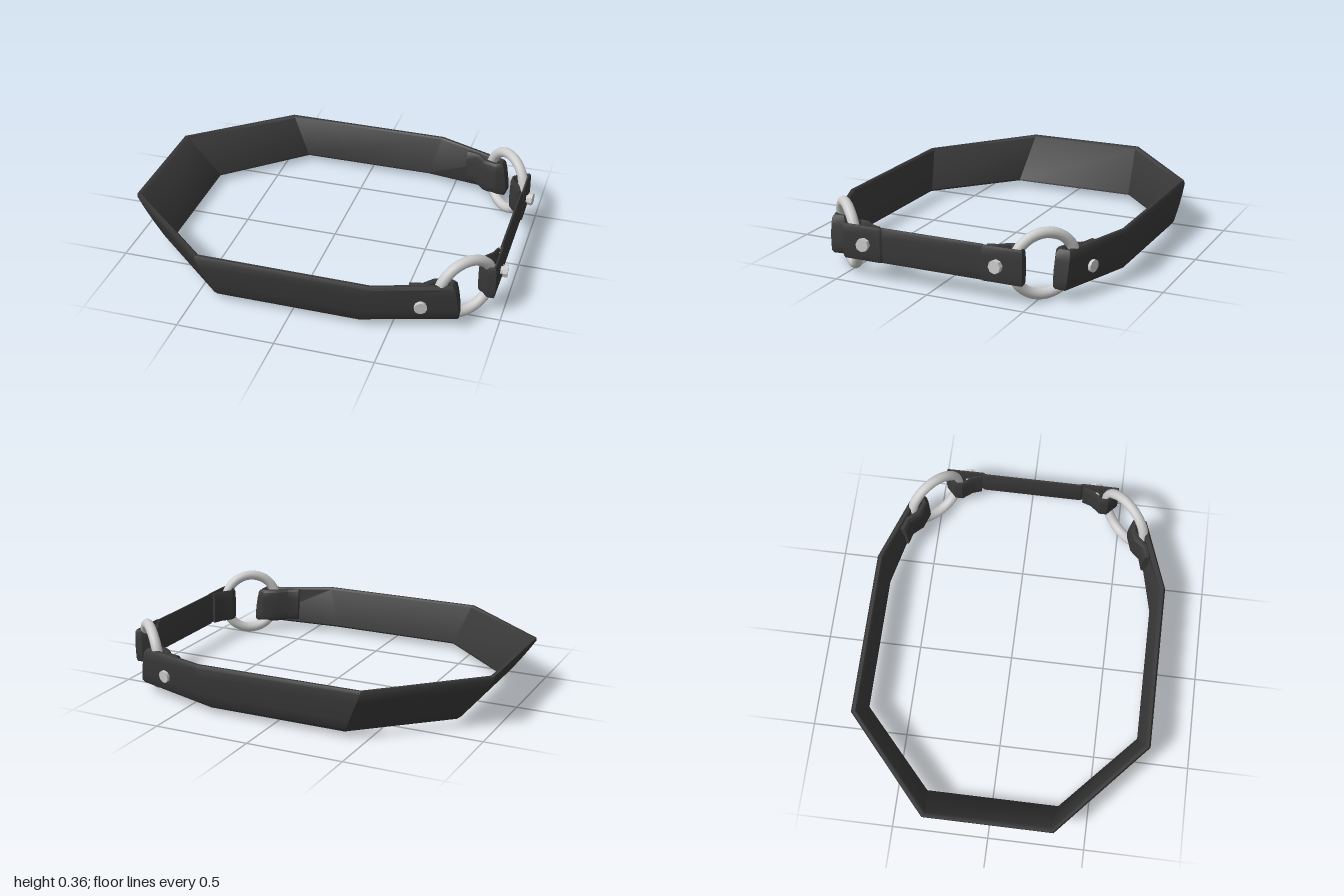
import * as THREE from 'three';
import { toCreasedNormals } from 'three/addons/utils/BufferGeometryUtils.js';

const leather = new THREE.MeshStandardMaterial({ color: 0x383838 });
const metal = new THREE.MeshStandardMaterial({ color: 0xcccccc });

// Strap cross-section: u across the thickness, v from bottom to top edge
const section = [
  [1, 0.07], [1.2, 0.3], [1.25, 0.5], [1.2, 0.72], [1, 0.93], [0.3, 1],
  [-0.6, 1], [-1, 0.96], [-1, 0.04], [-0.6, 0], [0.4, 0],
];

// Sweeps the section along half a strap and its mirror image across z = 0.
// Each station is [xTop, zTop, yTop, xBottom, zBottom, yBottom].
function makeStrap(name, half, thickness) {
  const mirrored = half.map(([a, b, c, d, e, f]) => [a, -b, c, d, -e, f]).reverse();
  const path = [...half, ...mirrored];
  const mid = path.map((s) => new THREE.Vector2((s[0] + s[3]) / 2, (s[1] + s[4]) / 2));
  const count = section.length;
  const positions = [];
  const index = [];

  path.forEach((s, i) => {
    const before = mid[i].clone().sub(mid[Math.max(i - 1, 0)]).normalize();
    const after = mid[Math.min(i + 1, path.length - 1)].clone().sub(mid[i]).normalize();
    const t = before.clone().add(after).normalize();
    const bend = Math.max(before.length() ? t.dot(before) : 1, 0.75);
    const w = thickness / 2 / bend;
    for (const [u, v] of section) {
      positions.push(
        THREE.MathUtils.lerp(s[3], s[0], v) + t.y * u * w,
        THREE.MathUtils.lerp(s[5], s[2], v),
        THREE.MathUtils.lerp(s[4], s[1], v) - t.x * u * w,
      );
    }
    if (i === 0) return;
    for (let j = 0; j < count; j++) {
      const k = (j + 1) % count;
      const a = (i - 1) * count;
      const b = i * count;
      index.push(a + j, a + k, b + j, a + k, b + k, b + j);
    }
  });

  // End caps
  const last = (path.length - 1) * count;
  for (let j = 1; j < count - 1; j++) {
    index.push(0, j + 1, j, last, last + j, last + j + 1);
  }

  const geometry = new THREE.BufferGeometry();
  geometry.setAttribute('position', new THREE.Float32BufferAttribute(positions, 3));
  geometry.setIndex(index);
  const mesh = new THREE.Mesh(toCreasedNormals(geometry, 0.65), leather);
  mesh.name = name;
  return mesh;
}

// A short cylinder whose axis points along a direction
function makePin(name, radius, length, position, direction, sides = 12) {
  const geometry = toCreasedNormals(new THREE.CylinderGeometry(radius, radius, length, sides), 0.6);
  const mesh = new THREE.Mesh(geometry, metal);
  mesh.name = name;
  mesh.position.set(...position);
  mesh.quaternion.setFromUnitVectors(
    new THREE.Vector3(0, 1, 0), new THREE.Vector3(...direction).normalize());
  return mesh;
}

export function createModel() {
  const model = new THREE.Group();
  model.name = 'ringedCollar';

  // Long band: tail, fold around the ring, side, then the leaning back corner
  model.add(makeStrap('mainBand', [
    [0.575, 0.668, 0.25, 0.575, 0.66, 0.07],
    [0.64, 0.65, 0.25, 0.64, 0.642, 0.07],
    [0.685, 0.598, 0.25, 0.69, 0.592, 0.065],
    [0.75, 0.573, 0.25, 0.765, 0.568, 0.062],
    [0.775, 0.585, 0.25, 0.80, 0.578, 0.06],
    [0.775, 0.632, 0.25, 0.805, 0.622, 0.06],
    [0.407, 0.764, 0.26, 0.345, 0.732, 0.035],
    [-0.483, 0.764, 0.263, -0.385, 0.732, 0.035],
    [-0.983, 0.325, 0.274, -0.805, 0.352, 0.035],
  ], 0.032));

  // Short strap: tail, fold around the ring, doubled end, single middle
  const straight = (x, z) => [x, z, 0.28, x, z, 0.105];
  model.add(makeStrap('shortStrap', [
    straight(0.932, -0.285),
    straight(0.915, -0.335),
    straight(0.875, -0.385),
    straight(0.875, -0.42),
    straight(0.925, -0.468),
    straight(0.952, -0.468),
    straight(0.953, -0.274),
    straight(0.946, -0.266),
  ], 0.016));

  for (const side of [1, -1]) {
    const hardware = new THREE.Group();
    hardware.name = side > 0 ? 'frontHardware' : 'backHardware';

    // Connecting ring, leaning slightly outward
    const ring = new THREE.Mesh(new THREE.TorusGeometry(0.156, 0.027, 14, 40), metal);
    ring.name = 'ring';
    ring.position.set(0.822, 0.185, side * 0.526);
    ring.rotation.order = 'YXZ';
    ring.rotation.set(0.09, side > 0 ? Math.PI / 4 : 3 * Math.PI / 4, 0);
    hardware.add(ring);

    // Flat rivet through the long band
    hardware.add(makePin('bandRivet', 0.032, 0.034, [0.64, 0.14, side * 0.69], [0.27, -0.08, side * 0.95]));

    // Bolt through the short strap, with a wider head
    const z = side * 0.352;
    hardware.add(makePin('boltShank', 0.02, 0.06, [0.95, 0.195, z], [1, 0, side * -0.1]));
    hardware.add(makePin('boltHead', 0.033, 0.025, [0.985, 0.195, z], [1, 0, side * -0.1], 8));
    model.add(hardware);
  }
  return model;
}
